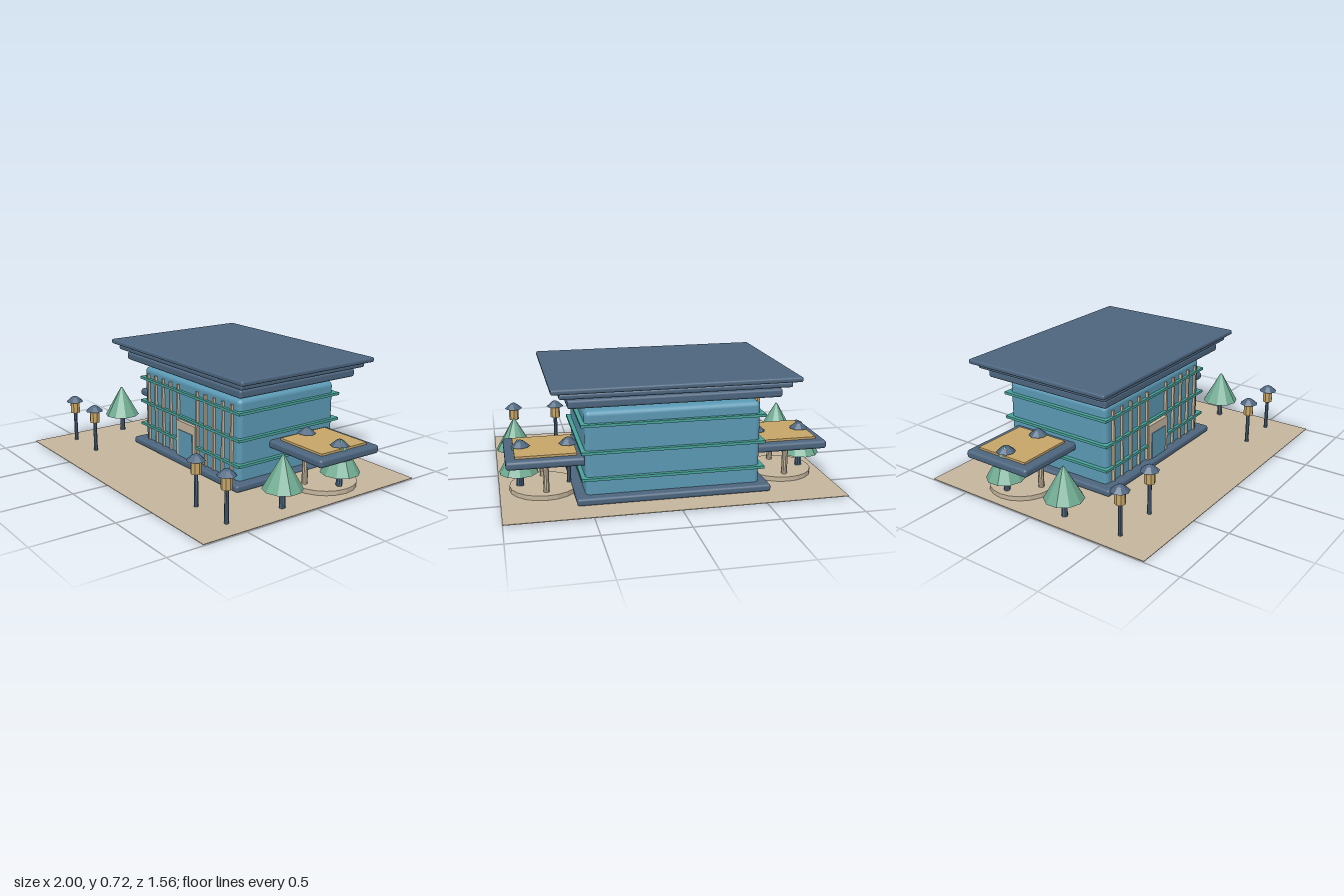
import * as THREE from 'three';
import { RoundedBoxGeometry } from 'three/addons/geometries/RoundedBoxGeometry.js';

function material(name, color, flatShading = false) {
  const m = new THREE.MeshStandardMaterial({ color });
  m.name = name;
  m.flatShading = flatShading;
  return m;
}

export function createModel() {
  const model = new THREE.Group();
  model.name = 'pavilion';

  const slate = material('slateBlue', 0x4d667f);
  const glass = material('blueGlass', 0x5c9ab5);
  const stone = material('paleStone', 0xc6b79e);
  const gold = material('warmGold', 0xc8a76a);
  const teal = material('tealTrim', 0x48a39a);
  const leaf = material('leafGreen', 0x70ab92, true);
  const slateFacet = slate, goldFacet = gold;

  function add(name, geometry, mat, x, y, z, parent = model) {
    const mesh = new THREE.Mesh(geometry, mat);
    mesh.name = name;
    mesh.position.set(x, y, z);
    parent.add(mesh);
    return mesh;
  }

  // Box given by its lower and upper limits, with an optional rounded edge
  function block(name, mat, [x0, x1], [y0, y1], [z0, z1], radius = 0) {
    const w = x1 - x0, h = y1 - y0, d = z1 - z0;
    const geometry = radius
      ? new RoundedBoxGeometry(w, h, d, 3, radius)
      : new THREE.BoxGeometry(w, h, d);
    return add(name, geometry, mat, (x0 + x1) / 2, (y0 + y1) / 2, (z0 + z1) / 2);
  }

  // Upright faceted cylinder, cone or frustum with crisp sides
  function post(name, mat, rTop, rBottom, [y0, y1], sides, x, z, parent = model) {
    const geometry = new THREE.CylinderGeometry(rTop, rBottom, y1 - y0, sides).toNonIndexed();
    geometry.computeVertexNormals();
    return add(name, geometry, mat, x, (y0 + y1) / 2, z, parent);
  }

  // Ground and main hall
  block('plaza', stone, [-1, 1], [0.004, 0.008], [-0.78, 0.78]);
  block('plinth', slate, [-0.575, 0.575], [0.008, 0.052], [-0.62, 0.24], 0.015);
  block('glassHall', glass, [-0.518, 0.518], [0.01, 0.548], [-0.56, 0.182], 0.03);

  // Three stepped roof slabs, each wider than the one below
  block('lowerRoof', slate, [-0.618, 0.618], [0.588, 0.638], [-0.635, 0.256], 0.014);
  block('middleRoof', slate, [-0.666, 0.666], [0.652, 0.684], [-0.67, 0.288], 0.012);
  block('upperRoof', slate, [-0.713, 0.713], [0.688, 0.718], [-0.702, 0.318], 0.011);

  // Horizontal bands around the hall
  for (const y of [0.15, 0.308, 0.47]) {
    block('wallBand', teal, [-0.543, 0.543], [y - 0.008, y + 0.008], [-0.585, 0.202]);
  }

  // Vertical fins on the front
  for (const side of [-1, 1]) {
    for (let i = 0; i < 5; i++) {
      const x = side * (0.105 + i * 0.0875);
      block('frontFin', stone, [x - 0.007, x + 0.007], [0.055, 0.51], [0.17, 0.198]);
    }
  }

  // Entrance
  block('doorFrame', stone, [-0.105, 0.105], [0, 0.283], [0.175, 0.206]);
  block('doorGlass', glass, [-0.075, 0.075], [0.03, 0.226], [0.204, 0.211]);

  function tree(x, z) {
    const group = new THREE.Group();
    group.name = 'tree';
    group.position.set(x, 0, z);
    model.add(group);
    post('trunk', slateFacet, 0.016, 0.018, [0.008, 0.14], 8, 0, 0, group);
    post('foliage', leaf, 0.006, 0.118, [0.122, 0.32], 10, 0, 0, group);
  }

  function lamp(x, z) {
    const group = new THREE.Group();
    group.name = 'lamp';
    group.position.set(x, 0, z);
    model.add(group);
    post('lampPole', slateFacet, 0.012, 0.013, [0.008, 0.21], 8, 0, 0, group);
    post('lantern', goldFacet, 0.032, 0.032, [0.205, 0.282], 8, 0, 0, group);
    post('lampCap', slateFacet, 0.024, 0.057, [0.282, 0.311], 8, 0, 0, group);
    post('lampCapTop', slateFacet, 0.008, 0.024, [0.311, 0.319], 8, 0, 0, group);
  }

  // Side wings, trees and lamps, mirrored left and right
  for (const side of [-1, 1]) {
    const span = (inner, outer) => (side > 0 ? [inner, outer] : [-outer, -inner]);
    block('canopy', slate, span(0.5, 0.962), [0.212, 0.263], [-0.514, -0.048], 0.018);
    block('canopyPanel', gold, span(0.552, 0.908), [0.255, 0.276], [-0.46, -0.103]);
    post('roundTerrace', stone, 0.205, 0.205, [0.008, 0.036], 20, side * 0.735, -0.28);
    for (const z of [-0.142, -0.416]) {
      post('canopyColumn', stone, 0.018, 0.018, [0.03, 0.22], 10, side * 0.732, z);
    }
    for (const z of [0.158, -0.28]) tree(side * 0.88, z);
    for (const z of [0.534, -0.283]) {
      for (const x of [0.585, 0.866]) lamp(side * x, z);
    }
  }

  return model;
}
